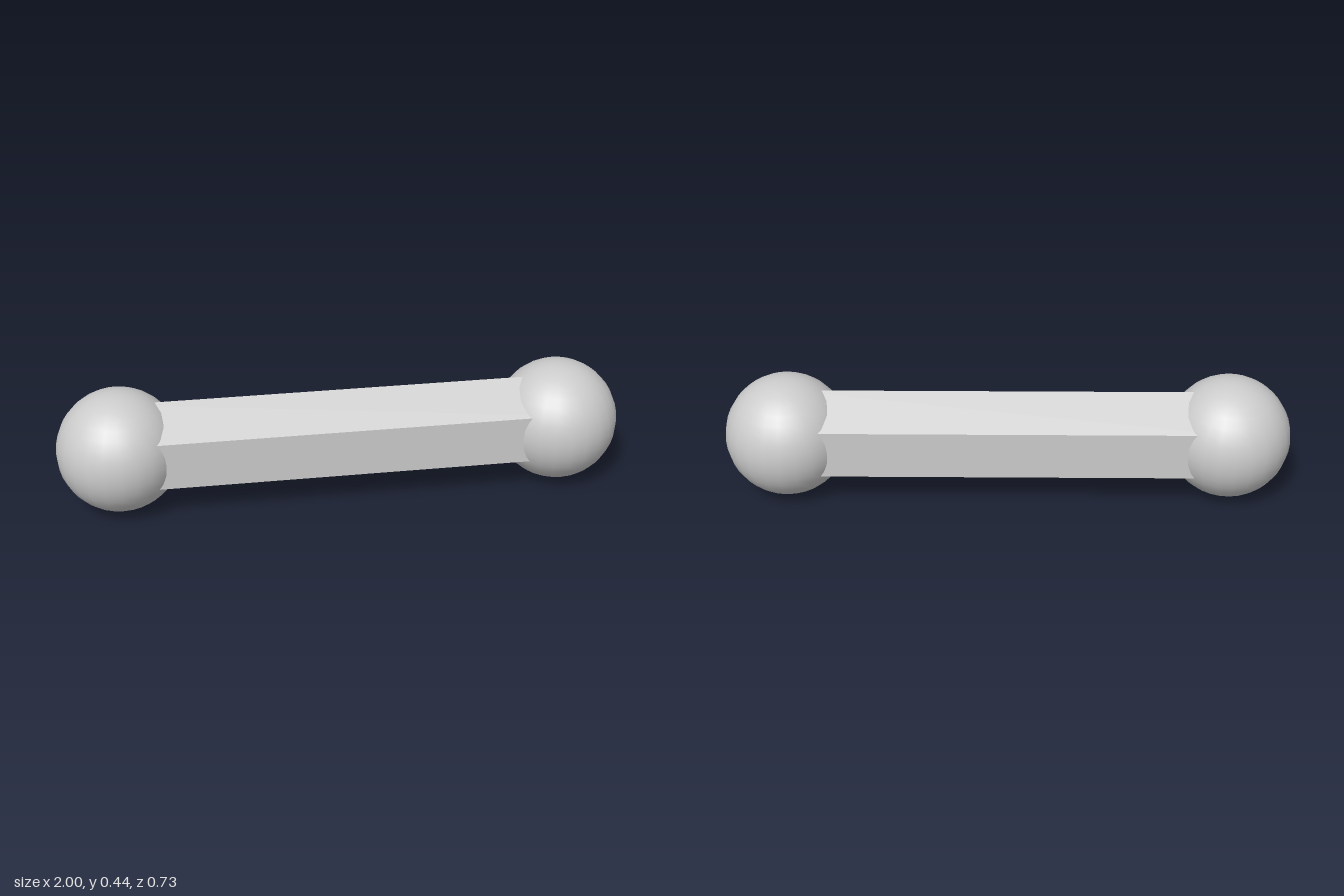
import * as THREE from 'three';

export function createModel() {
  const group = new THREE.Group();
  const ballRadius = 0.221;
  const end = new THREE.Vector3(0.779, 0, -0.143);

  // Everything is laid out along x, then turned about the vertical axis
  const dumbbell = new THREE.Group();
  dumbbell.name = 'dumbbell';
  dumbbell.position.y = 0.2225;
  dumbbell.rotation.y = Math.atan2(-end.z, end.x);
  group.add(dumbbell);

  // Hexagonal bar, with ridges at the top and bottom
  const barGeometry = new THREE.CylinderGeometry(0.176, 0.176, end.length() * 2, 6);
  barGeometry.rotateY(Math.PI / 2).rotateZ(Math.PI / 2);
  const bar = new THREE.Mesh(
    barGeometry,
    new THREE.MeshStandardMaterial({ color: 0xcccccc, flatShading: true })
  );
  bar.name = 'bar';
  dumbbell.add(bar);

  // Smooth ball on each end
  const ballGeometry = new THREE.SphereGeometry(ballRadius, 24, 20);
  const ballMaterial = new THREE.MeshStandardMaterial({ color: 0xcccccc });
  for (const side of [-1, 1]) {
    const ball = new THREE.Mesh(ballGeometry, ballMaterial);
    ball.name = side > 0 ? 'leftBall' : 'rightBall';
    ball.position.x = side * end.length();
    dumbbell.add(ball);
  }
  return group;
}
